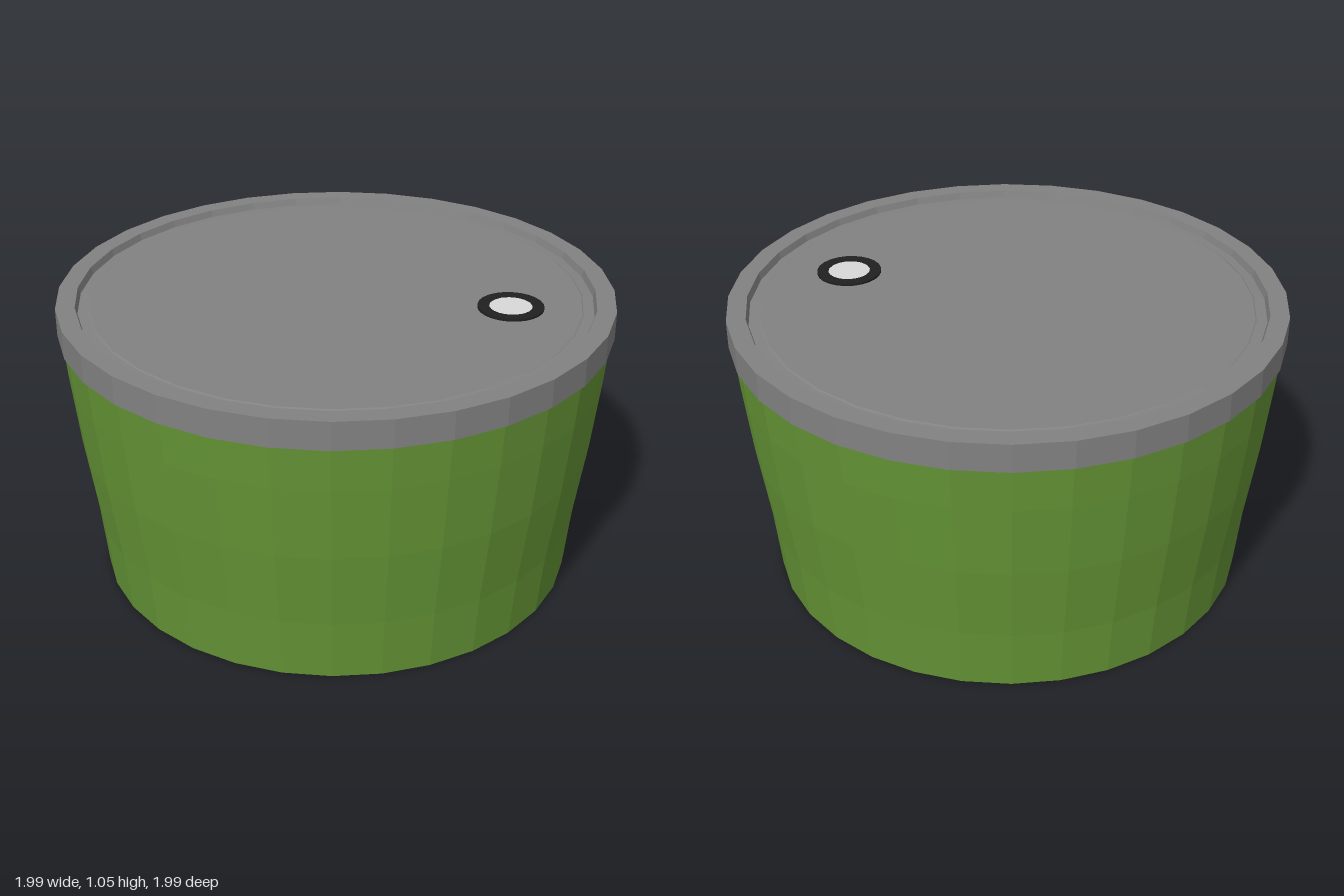
import * as THREE from 'three';

const SIDES = 32;
const TURN = 0.127; // angle of the first facet edge

const paint = (name, color) => {
  const m = new THREE.MeshStandardMaterial({ color });
  m.name = name;
  return m;
};

// Faceted solid of revolution; profile is [radius, height] from bottom to top
function turned(name, profile, material, sides = SIDES) {
  const points = profile.map(([r, y]) => new THREE.Vector2(r, y));
  const geometry = new THREE.LatheGeometry(points, sides, TURN).toNonIndexed();
  geometry.computeVertexNormals();
  const mesh = new THREE.Mesh(geometry, material);
  mesh.name = name;
  return mesh;
}

export function createModel() {
  const green = paint('green', 0x669636);
  const grey = paint('grey', 0x828282);
  const black = paint('black', 0x202020);
  const white = paint('offWhite', 0xd9d9d9);

  const model = new THREE.Group();
  model.name = 'liddedTub';

  // Tapered tub wall
  model.add(turned('tubWall', [
    [0.868, 0], [0.88, 0], [0.902, 0.23], [0.943, 0.52], [0.972, 0.79], [0.986, 0.96],
  ], green));

  // Pale base plate in a shallow foot recess
  model.add(turned('base', [[0, 0.012], [0.866, 0.012], [0.868, 0]], white));

  // Lid with raised rim and sunken top panel
  model.add(turned('lid', [
    [0.965, 0.953], [0.998, 0.953], [0.998, 1.055], [0.93, 1.055], [0.922, 1.03],
    [0.885, 1.032], [0.88, 1.035], [0, 1.035],
  ], grey));

  // Valve: dark collar around a pale, slightly sunken cap
  const valve = new THREE.Group();
  valve.name = 'valve';
  valve.position.set(0.592, 1.035, -0.21);
  valve.add(turned('valveCollar', [
    [0.118, 0], [0.118, 0.008], [0.077, 0.008], [0.077, 0],
  ], black, 24));
  valve.add(turned('valveCap', [[0.077, 0.006], [0, 0.006]], white, 16));
  model.add(valve);

  return model;
}
